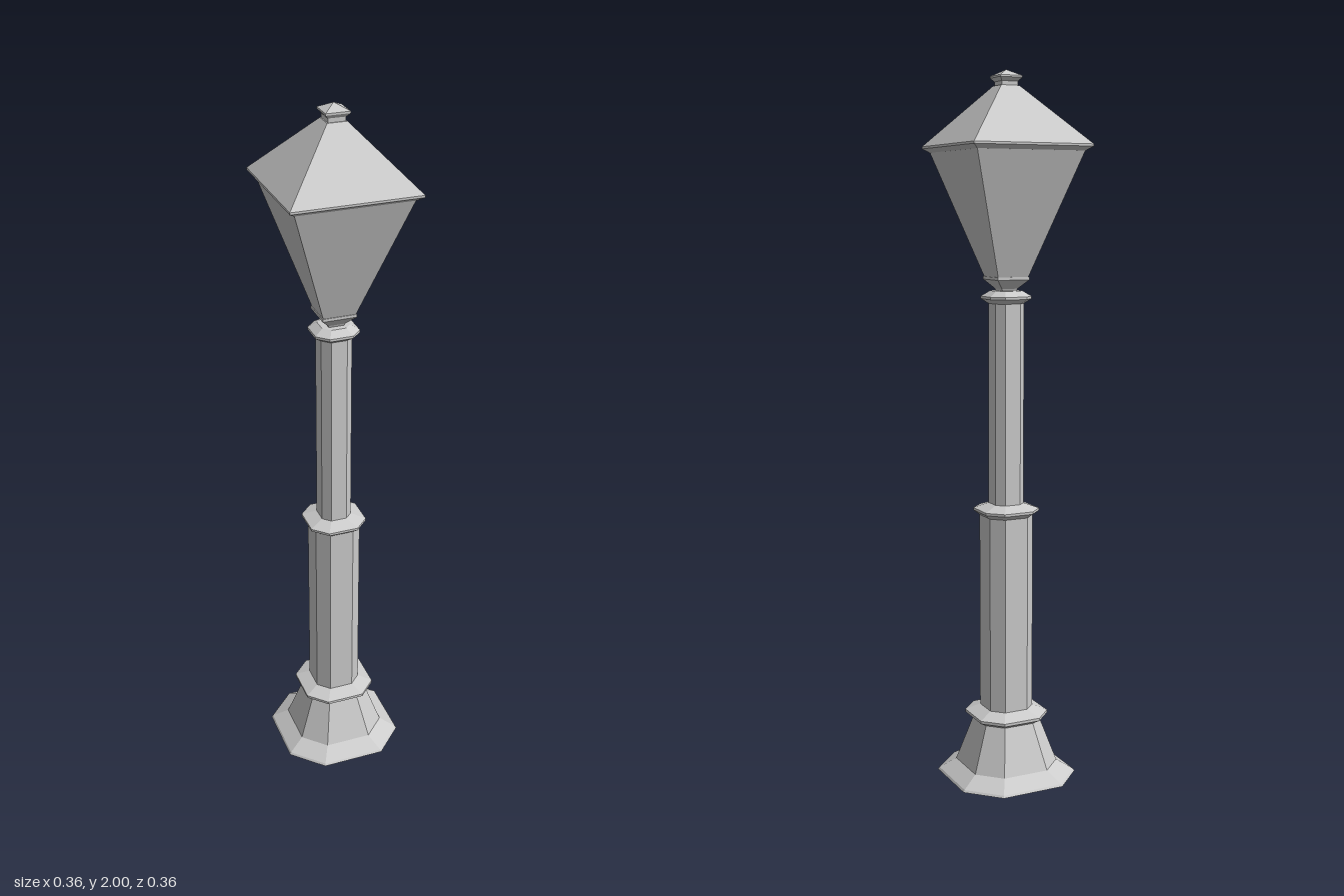
import * as THREE from 'three';

const B = 0.52; // half length of a main side of the chamfered square
const OCTAGON = [[1, -B], [1, B], [B, 1], [-B, 1], [-1, B], [-1, -B], [-B, -1], [B, -1]];
const SQUARE = [[1, -1], [1, 1], [-1, 1], [-1, -1]];

const material = new THREE.MeshStandardMaterial({ color: 0xcccccc, flatShading: true });

// Closed loft: scales an outline to each [half width, height] of the profile
function loft(name, outline, profile) {
  const pos = [];
  const n = outline.length;
  const point = ([r, y], i) => [outline[i % n][0] * r, y, outline[i % n][1] * r];
  const tri = (...corners) => corners.forEach((c) => pos.push(...c));
  const first = profile[0];
  const last = profile[profile.length - 1];
  for (let i = 0; i < n; i++) {
    for (let k = 0; k < profile.length - 1; k++) {
      const a = point(profile[k], i), b = point(profile[k], i + 1);
      const c = point(profile[k + 1], i), d = point(profile[k + 1], i + 1);
      tri(a, c, b);
      if (profile[k + 1][0] > 0) tri(b, c, d);
    }
    tri([0, first[1], 0], point(first, i), point(first, i + 1));
    if (last[0] > 0) tri([0, last[1], 0], point(last, i + 1), point(last, i));
  }
  const geometry = new THREE.BufferGeometry();
  geometry.setAttribute('position', new THREE.Float32BufferAttribute(pos, 3));
  geometry.computeVertexNormals();
  const mesh = new THREE.Mesh(geometry, material);
  mesh.name = name;
  return mesh;
}

export function createModel() {
  const group = new THREE.Group();
  group.name = 'streetLamp';

  // Eight-sided foot, posts and collars
  group.add(
    loft('base', OCTAGON, [[0.178, 0], [0.174, 0.006], [0.13, 0.035], [0.085, 0.165]]),
    loft('baseCollar', OCTAGON, [[0.085, 0.165], [0.106, 0.178], [0.106, 0.186], [0.067, 0.203]]),
    loft('lowerPost', OCTAGON, [[0.067, 0.2], [0.067, 0.77]]),
    loft('middleCollar', OCTAGON, [[0.067, 0.768], [0.083, 0.781], [0.083, 0.788], [0.044, 0.803]]),
    loft('upperPost', OCTAGON, [[0.044, 0.8], [0.044, 1.37]]),
    loft('topCollar', OCTAGON, [[0.044, 1.369], [0.063, 1.382], [0.063, 1.389], [0.04, 1.404]])
  );

  // Four-sided lantern
  group.add(
    loft('lanternCup', SQUARE, [[0.02, 1.4], [0.024, 1.41], [0.048, 1.435], [0.048, 1.443]]),
    loft('lanternGlass', SQUARE, [[0.046, 1.443], [0.16, 1.785]]),
    loft('roof', SQUARE, [[0.16, 1.782], [0.176, 1.793], [0.176, 1.799], [0.027, 1.957]]),
    loft('finialNeck', SQUARE, [[0.024, 1.955], [0.024, 1.972]]),
    loft('finialCap', SQUARE, [[0.024, 1.968], [0.033, 1.978], [0.033, 1.983], [0, 2]])
  );

  return group;
}
